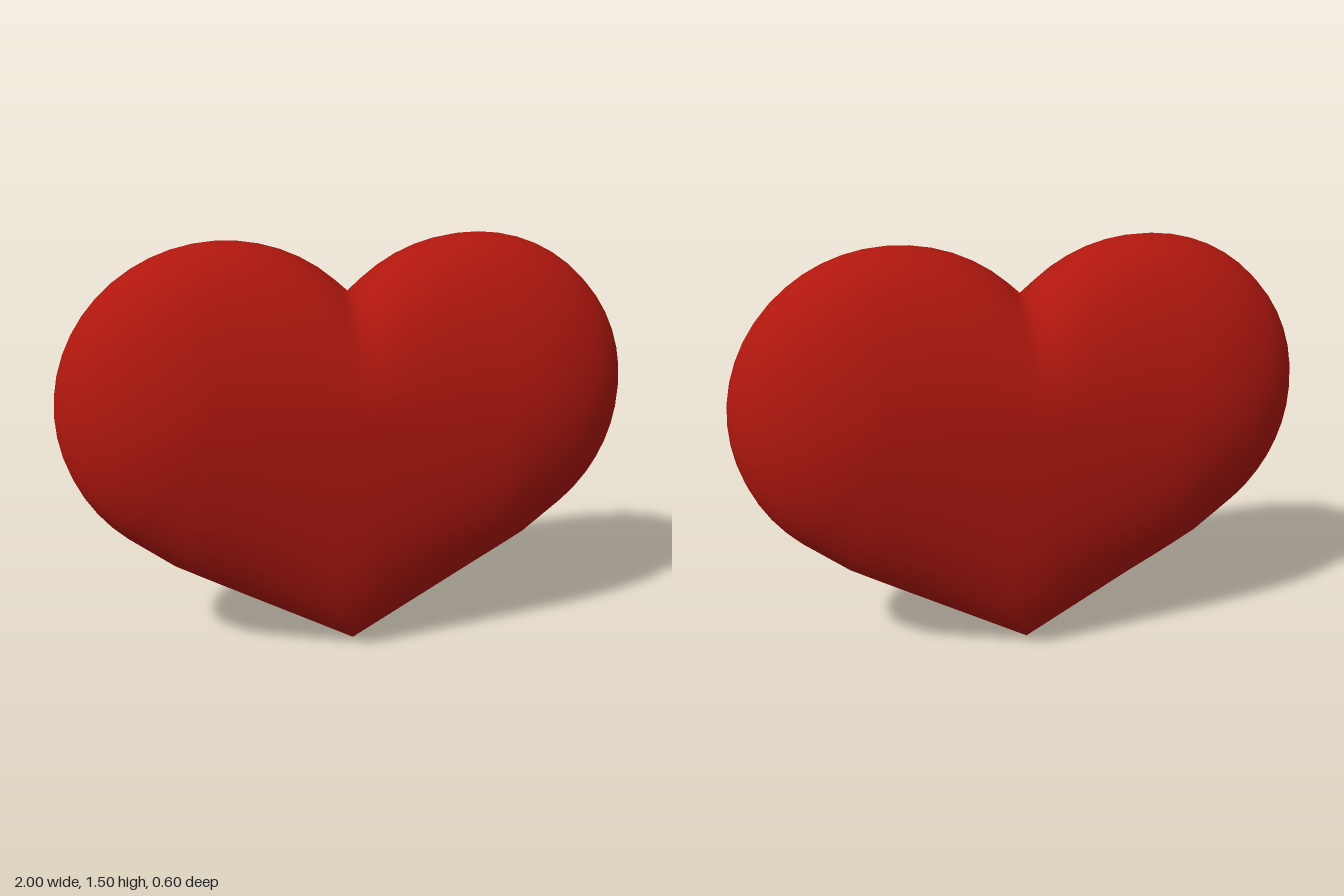
import * as THREE from 'three';

const LOBE_X = 0.43, LOBE_Y = 0.93, LOBE_R = 0.57; // circle forming each lobe
const RIDGE_X = 0.51;       // half length of the fullest line across the heart
const HALF_DEPTH = 0.275;
const RINGS = 16;

// Closed outline, clockwise from the cleft: right half, then its mirror image
function heartOutline() {
  const half = [[0, 1.31]];
  for (let i = 1; i <= 26; i++) {
    const a = THREE.MathUtils.degToRad(139 - (189 * i) / 26);
    half.push([LOBE_X + LOBE_R * Math.cos(a), LOBE_Y + LOBE_R * Math.sin(a)]);
  }
  for (let i = 0; i <= 8; i++) half.push([0.64 * (1 - i / 8), 0.37 * (1 - i / 8)]);
  const mirrored = half.slice(1, -1).reverse().map(([x, y]) => [-x, y]);
  return [...half, ...mirrored];
}

// Outline rings shrink elliptically from the rim to the ridge line, front and back
function pillowGeometry(outline) {
  const n = outline.length, positions = [], index = [];
  for (let j = 0; j <= RINGS; j++) {
    const t = Math.PI * (0.5 - j / RINGS);
    const s = Math.cos(t), z = HALF_DEPTH * Math.sin(t);
    for (const [x, y] of outline) {
      const ridge = THREE.MathUtils.clamp(x, -RIDGE_X, RIDGE_X);
      positions.push(ridge + (x - ridge) * s, LOBE_Y + (y - LOBE_Y) * s, z);
    }
  }
  for (let j = 0; j < RINGS; j++) {
    for (let i = 0; i < n; i++) {
      const a = j * n + i, b = j * n + ((i + 1) % n), c = a + n, d = b + n;
      if (j > 0) index.push(a, b, c);
      if (j < RINGS - 1) index.push(b, d, c);
      // the first and last bands collapse to a line, so close their wide sides
      if (j === 0) index.push(a, b, c);
      if (j === RINGS - 1) index.push(b, d, c);
    }
  }
  const geometry = new THREE.BufferGeometry();
  geometry.setAttribute('position', new THREE.Float32BufferAttribute(positions, 3));
  geometry.setIndex(index);
  geometry.computeVertexNormals();
  // Ridge vertices face straight out so both sides blend smoothly
  for (let i = 0; i < n; i++) {
    geometry.attributes.normal.setXYZ(i, 0, 0, 1);
    geometry.attributes.normal.setXYZ(RINGS * n + i, 0, 0, -1);
  }
  return geometry;
}

export function createModel() {
  const group = new THREE.Group();
  group.name = 'heartModel';
  const red = new THREE.MeshStandardMaterial({ color: 0xb0170e });
  const heart = new THREE.Mesh(pillowGeometry(heartOutline()), red);
  heart.name = 'heart';
  heart.rotation.y = -0.053; // turned slightly about the vertical
  group.add(heart);
  return group;
}
